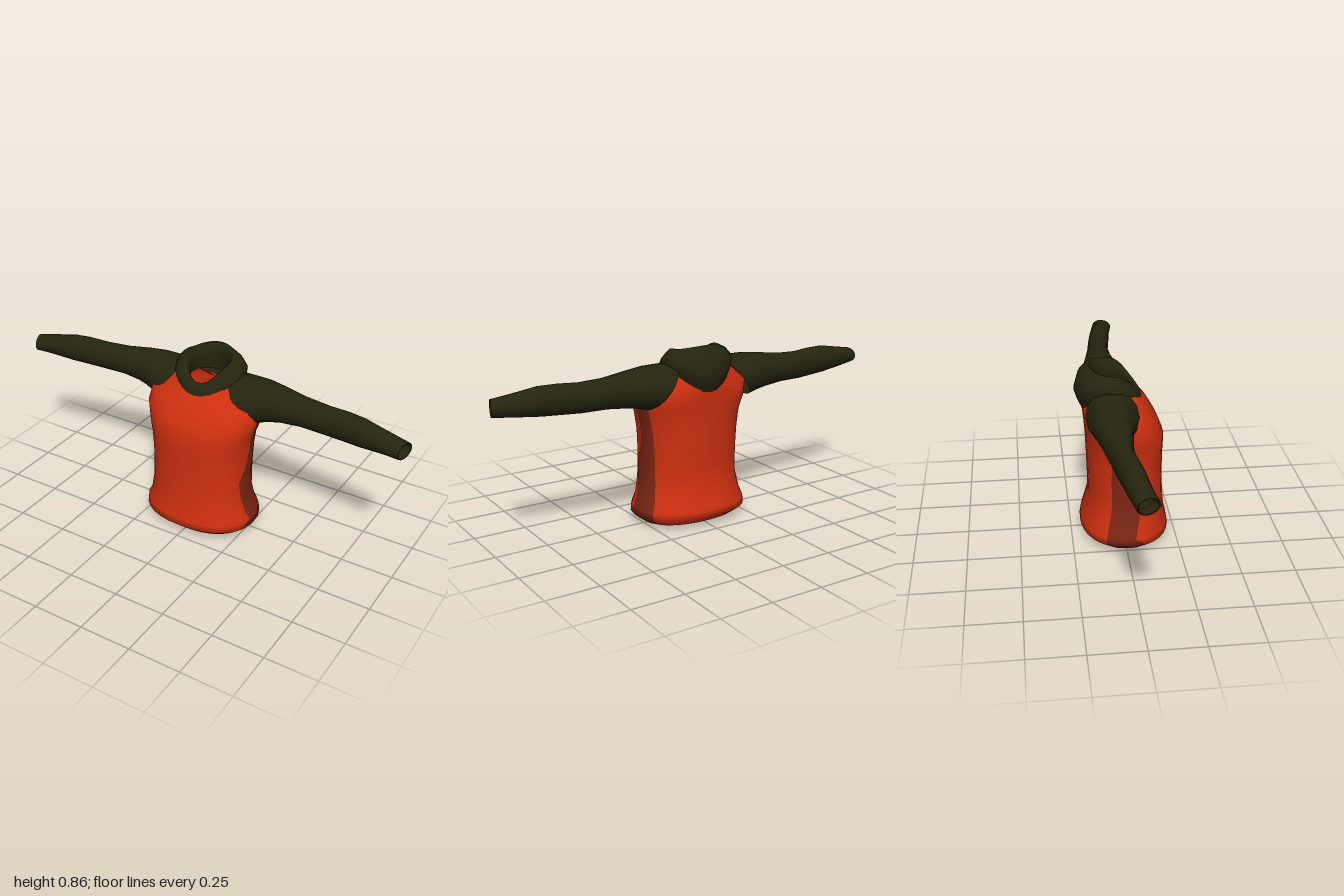
import * as THREE from 'three';

const red = new THREE.MeshStandardMaterial({ color: 0xd03010, side: THREE.DoubleSide, name: 'orange red cloth' });
const brown = new THREE.MeshStandardMaterial({ color: 0x7c2613, side: THREE.DoubleSide, name: 'brown side cloth' });
const olive = new THREE.MeshStandardMaterial({ color: 0x25250f, side: THREE.DoubleSide, name: 'dark olive cloth' });

// Skin a list of closed rings; pick(row, column) gives a material index, or -1 for a gap
function loft(name, rings, materials, pick = () => 0, flip = false) {
  const n = rings[0].length;
  const lists = materials.map(() => []);
  for (let r = 0; r < rings.length - 1; r++) {
    for (let c = 0; c < n; c++) {
      const m = pick(r, c);
      if (m < 0) continue;
      const a = r * n + c, b = r * n + (c + 1) % n, d = a + n, e = b + n;
      lists[m].push(...(flip ? [a, e, b, a, d, e] : [a, b, e, a, e, d]));
    }
  }
  const geometry = new THREE.BufferGeometry();
  geometry.setAttribute('position', new THREE.Float32BufferAttribute(rings.flat(2), 3));
  geometry.setIndex(lists.flat());
  let start = 0;
  lists.forEach((list, i) => {
    geometry.addGroup(start, list.length, i);
    start += list.length;
  });
  geometry.computeVertexNormals();
  const mesh = new THREE.Mesh(geometry, materials);
  mesh.name = name;
  return mesh;
}

// Point on a rounded horizontal ring whose height differs at front, side and back
const signedPow = (v, e) => Math.sign(v) * Math.abs(v) ** e;
function ringPoint(a, [yFront, ySide, yBack, w, zFront, zBack], e) {
  const c = Math.cos(a), mid = (zFront + zBack) / 2, rz = (zFront - zBack) / 2;
  const y = ySide + ((c > 0 ? yFront : yBack) - ySide) * c * c;
  return [w * signedPow(Math.sin(a), e), y, mid + rz * signedPow(c, e)];
}

// Body: rows of yFront, ySide, yBack, halfWidth, zFront, zBack, side panel zFront, zBack
function makeTorso() {
  const rows = [
    [0.0, 0.01, 0.01, 0.25, 0.175, -0.16, 0.1, -0.1],
    [0.04, 0.04, 0.045, 0.285, 0.22, -0.205, 0.09, -0.1],
    [0.075, 0.075, 0.075, 0.282, 0.215, -0.2, 0.04, -0.095],
    [0.12, 0.12, 0.12, 0.262, 0.203, -0.187, 0.05, -0.085],
    [0.2, 0.2, 0.2, 0.247, 0.195, -0.166, 0.065, -0.07],
    [0.28, 0.28, 0.28, 0.245, 0.191, -0.166, 0.072, -0.068],
    [0.36, 0.36, 0.36, 0.247, 0.19, -0.168, 0.03, -0.07],
    [0.44, 0.44, 0.44, 0.251, 0.191, -0.171, 0.01, -0.068],
    [0.52, 0.52, 0.52, 0.262, 0.194, -0.174, 0.015, -0.065],
    [0.58, 0.59, 0.57, 0.285, 0.17, -0.178, 0.01, -0.08],
    [0.65, 0.66, 0.62, 0.28, 0.13, -0.183, 0.01, -0.09],
    [0.70, 0.765, 0.66, 0.15, 0.088, -0.188, 0.0, -0.09],
  ];
  const e = 0.88, wide = 12, narrow = 3;
  const rings = rows.map((row) => {
    const mid = (row[4] + row[5]) / 2, rz = (row[4] - row[5]) / 2;
    const [f, b] = [row[6], row[7]].map((z) => Math.acos(signedPow((z - mid) / rz, 1 / e)));
    const ring = [];
    const span = (from, to, count) => {
      for (let i = 0; i < count; i++) ring.push(ringPoint(from + (to - from) * i / count, row, e));
    };
    span(-f, f, wide);
    span(f, b, narrow);
    span(b, 2 * Math.PI - b, wide);
    span(2 * Math.PI - b, 2 * Math.PI - f, narrow);
    return ring;
  });
  // Armholes stay open inside the sleeves
  return loft('torso', rings, [red, brown], (r, c) => {
    const panel = c % (wide + narrow) >= wide;
    return panel ? (r >= 9 ? -1 : 1) : 0;
  });
}

// Wide standing collar, tall at the back, rolled into a neck opening
function makeCollar() {
  const rows = [
    [0.695, 0.75, 0.645, 0.165, 0.092, -0.188],
    [0.715, 0.775, 0.69, 0.172, 0.088, -0.208],
    [0.73, 0.80, 0.735, 0.168, 0.078, -0.222],
    [0.74, 0.825, 0.81, 0.145, 0.068, -0.203],
    [0.747, 0.838, 0.86, 0.118, 0.058, -0.162],
    [0.742, 0.825, 0.855, 0.1, 0.052, -0.15],
    [0.72, 0.785, 0.8, 0.086, 0.05, -0.14],
    [0.69, 0.73, 0.72, 0.095, 0.06, -0.15],
  ];
  const rings = rows.map((row) => Array.from({ length: 28 }, (_, i) => ringPoint(i / 28 * 2 * Math.PI, row, 1)));
  return loft('collar', rings, [olive]);
}

// Sleeve rows: xTop, xBottom, yBottom, yTop, zFront, zBack, skew of the cut
function makeSleeve(name, side) {
  const rows = [
    [0.12, 0.275, 0.575, 0.775, 0.062, -0.182, 0],
    [0.19, 0.3, 0.582, 0.777, 0.05, -0.176, 0],
    [0.27, 0.33, 0.59, 0.778, 0.032, -0.166, 0],
    [0.36, 0.38, 0.599, 0.768, 0.014, -0.152, 0],
    [0.48, 0.48, 0.608, 0.75, 0.0, -0.132, 0],
    [0.6, 0.6, 0.606, 0.745, -0.006, -0.112, 0],
    [0.7, 0.7, 0.61, 0.75, 0.006, -0.1, 0.004],
    [0.78, 0.78, 0.613, 0.748, 0.016, -0.087, 0.006],
    [0.86, 0.86, 0.621, 0.733, 0.024, -0.074, 0.008],
    [0.93, 0.93, 0.628, 0.72, 0.034, -0.062, 0.01],
    [0.985, 0.985, 0.634, 0.71, 0.045, -0.052, 0.014],
    [0.984, 0.984, 0.64, 0.704, 0.037, -0.045, 0.012],
    [0.93, 0.93, 0.635, 0.712, 0.027, -0.055, 0.01],
  ];
  const rings = rows.map(([xTop, xBottom, y0, y1, zFront, zBack, skew]) => Array.from({ length: 16 }, (_, i) => {
    const b = i / 16 * 2 * Math.PI, c = Math.cos(b), s = Math.sin(b);
    const x = xBottom + (xTop - xBottom) * (1 + c) / 2 - skew * s;
    return [side * x, (y0 + y1) / 2 + (y1 - y0) / 2 * c, (zFront + zBack) / 2 + (zFront - zBack) / 2 * s];
  }));
  return loft(name, rings, [olive], () => 0, side < 0);
}

export function createModel() {
  const group = new THREE.Group();
  group.name = 'sweatshirt';
  group.add(makeTorso(), makeCollar(), makeSleeve('leftSleeve', 1), makeSleeve('rightSleeve', -1));
  return group;
}
